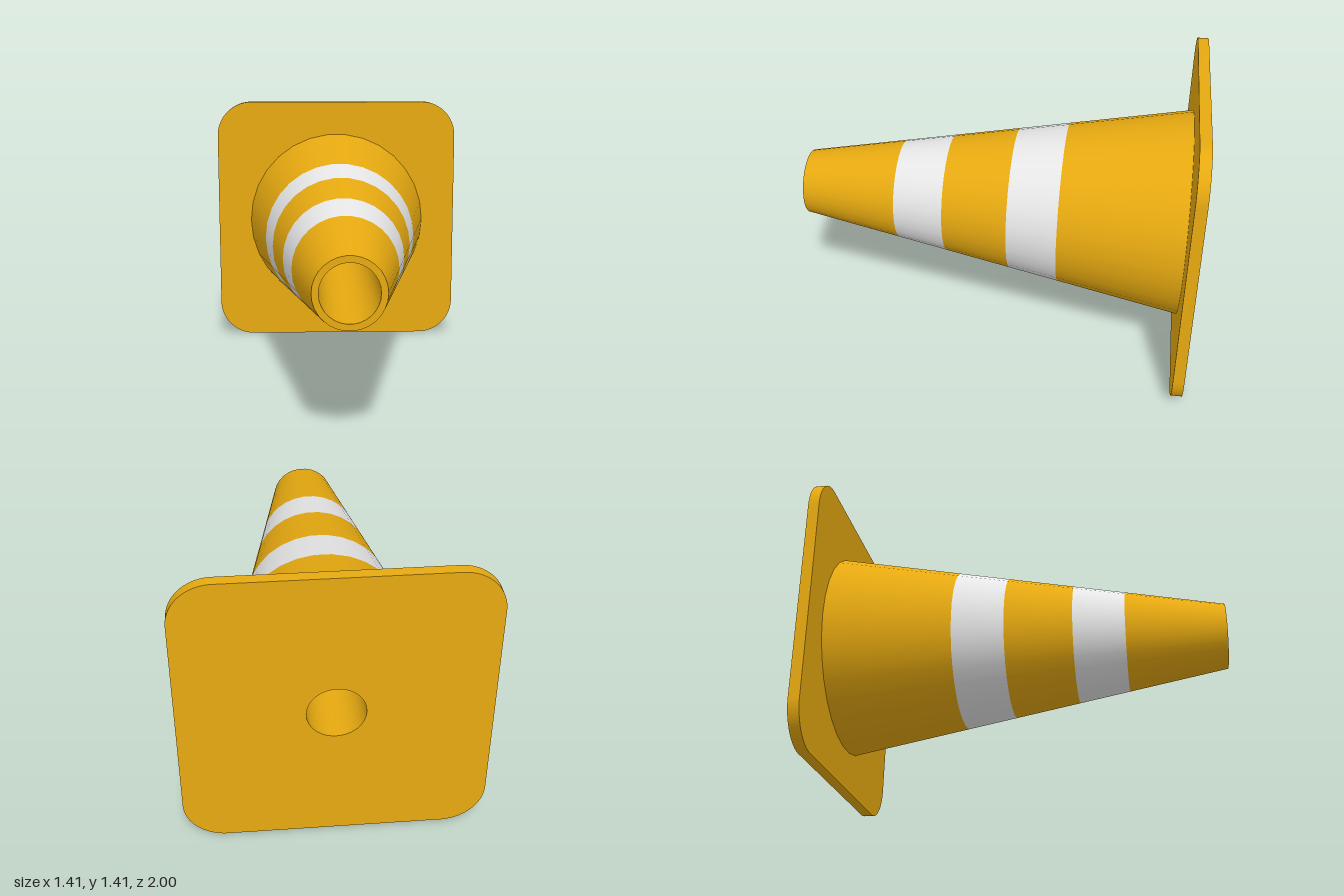
import * as THREE from 'three';
import { toCreasedNormals } from 'three/addons/utils/BufferGeometryUtils.js';

const SIDES = 30;
const HALF = 0.7075; // half width of the square base
const CORNER = 0.2;
const BORE = 0.134;
const BACK = -1, BASE_FRONT = -0.945, TIP = 1;

// Outer radius of the cone at depth z
const coneRadius = (z) => THREE.MathUtils.mapLinear(z, BASE_FRONT, TIP, 0.516, 0.165);

export function createModel() {
  const model = new THREE.Group();
  model.name = 'trafficCone';
  const orange = new THREE.MeshStandardMaterial({ color: 0xe6a910 });
  orange.name = 'orange';
  const white = new THREE.MeshStandardMaterial({ color: 0xe6e6e6 });
  white.name = 'reflectiveWhite';

  const add = (name, geometry, material) => {
    const mesh = new THREE.Mesh(geometry, material);
    mesh.name = name;
    mesh.position.y = HALF;
    model.add(mesh);
  };

  // Surface of revolution around z from [radius, z] pairs
  const revolve = (name, points, material) => {
    const profile = points.map(([r, z]) => new THREE.Vector2(r, z));
    const geometry = new THREE.LatheGeometry(profile, SIDES, Math.PI / 2);
    add(name, geometry.rotateX(Math.PI / 2), material);
  };

  // Square base with rounded corners and a central hole
  const shape = new THREE.Shape();
  const c = HALF - CORNER;
  [[c, c], [-c, c], [-c, -c], [c, -c]].forEach(([x, y], i) => {
    shape.absarc(x, y, CORNER, i * Math.PI / 2, (i + 1) * Math.PI / 2, false);
  });
  shape.closePath();
  shape.holes.push(new THREE.Path().absarc(0, 0, BORE, 0, Math.PI * 2, true));
  const base = new THREE.ExtrudeGeometry(shape, {
    depth: BASE_FRONT - BACK, bevelEnabled: false, curveSegments: SIDES / 2,
  });
  add('base', toCreasedNormals(base.translate(0, 0, BACK), 0.6), orange);

  // Cone wall in alternating orange and white bands
  const stops = [BASE_FRONT, -0.335, -0.083, 0.248, 0.503, TIP];
  for (let i = 0; i < stops.length - 1; i++) {
    const [a, b] = [stops[i], stops[i + 1]];
    const striped = i % 2 === 1;
    revolve(striped ? 'reflectiveBand' : 'coneSection',
      [[coneRadius(a), a], [coneRadius(b), b]], striped ? white : orange);
  }

  // Rim at the tip and the straight bore behind it
  revolve('tipRim', [[coneRadius(TIP), TIP], [BORE, TIP]], orange);
  revolve('bore', [[BORE, TIP], [BORE, BASE_FRONT]], orange);

  return model;
}
